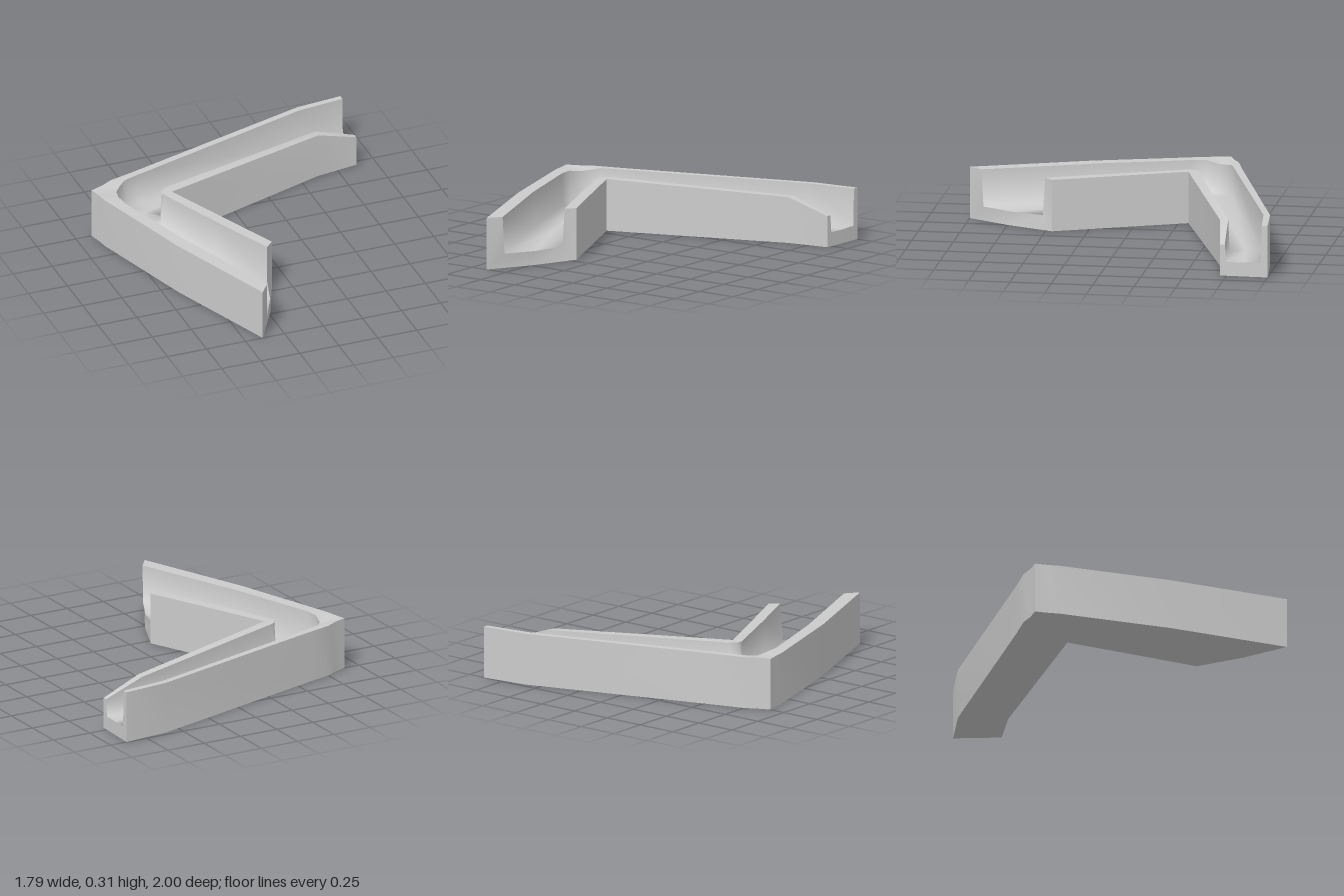
import * as THREE from 'three';
import { toCreasedNormals } from 'three/addons/utils/BufferGeometryUtils.js';

const TOP = 0.315;

// Plan stations along the bent trough, each as [x, z] pairs:
// outer edge, outer rim lip, inner rim lip, inner edge; then floor height, inner rim height, outer lip height
const stations = [
  [[-0.39, 1.0], [-0.33, 0.92], [-0.17, 0.51], [-0.12, 0.46], 0.085, TOP, TOP],
  [[-0.66, 0.31], [-0.6, 0.24], [-0.335, 0.14], [-0.28, 0.1], 0.1, TOP, TOP],
  [[-0.87, -0.36], [-0.77, -0.28], [-0.52, -0.3], [-0.46, -0.31], 0.115, TOP, TOP],
  [[-0.88, -0.42], [-0.78, -0.37], [-0.52, -0.315], [-0.46, -0.31], 0.12, TOP, TOP],
  [[-0.9, -0.5], [-0.76, -0.45], [-0.515, -0.33], [-0.46, -0.31], 0.12, TOP, 0.3],
  [[-0.82, -0.53], [-0.72, -0.5], [-0.505, -0.345], [-0.46, -0.31], 0.12, TOP, 0.305],
  [[-0.75, -0.57], [-0.67, -0.54], [-0.495, -0.36], [-0.46, -0.31], 0.12, TOP, TOP],
  [[-0.6, -0.61], [-0.58, -0.57], [-0.48, -0.37], [-0.45, -0.313], 0.12, TOP, TOP],
  [[0.6, -0.97], [0.6, -0.93], [0.62, -0.72], [0.62, -0.67], 0.095, 0.28, TOP],
  [[0.89, -1.0], [0.89, -0.965], [0.88, -0.74], [0.88, -0.71], 0.085, 0.19, TOP],
];

// Closed cross-section: outer top, lip, three floor points, lip, inner top, then the underside
function section([o, lipO, lipI, inn, floor, rimY, lipY], i) {
  const v = ([x, z], y) => new THREE.Vector3(x, y, z);
  const mix = (a, b, t) => [a[0] + (b[0] - a[0]) * t, a[1] + (b[1] - a[1]) * t];
  const bow = i === 0 ? 0.016 : 0; // the front end bulges slightly
  const mid = (a, b) => {
    const m = mix(a, b, 0.5);
    return [m[0] + bow, m[1] + bow * 0.4];
  };
  return [
    v(o, TOP), v(lipO, lipY),
    v(mix(lipO, lipI, 0.03), floor + 0.004), v(mid(lipO, lipI), floor), v(mix(lipO, lipI, 0.96), floor),
    v(lipI, rimY), v(inn, rimY),
    v(inn, 0), v(mid(o, inn), 0), v(o, 0),
  ];
}

function geometryFrom(points, index) {
  const geo = new THREE.BufferGeometry().setFromPoints(points);
  geo.setIndex(index);
  return geo;
}

export function createModel() {
  const group = new THREE.Group();
  const material = new THREE.MeshStandardMaterial({ color: 0xcccccc });
  const rings = stations.map(section);
  const n = rings[0].length;
  const points = rings.flat();
  const groove = [], body = [];
  const quad = (list, a, b, c, d) => list.push(a, b, c, a, c, d);

  // Loft the sections; sides 1 to 4 form the channel, the others the shell
  for (let i = 0; i < rings.length - 1; i++) {
    for (let j = 0; j < n; j++) {
      const k = (j + 1) % n, a = i * n, b = a + n;
      quad(j >= 1 && j < 5 ? groove : body, a + j, a + k, b + k, b + j);
    }
  }

  // End caps
  const last = (rings.length - 1) * n;
  for (const [a, b, c, d] of [[0, 1, 2, 9], [2, 3, 8, 9], [3, 4, 7, 8], [4, 5, 6, 7]]) {
    quad(body, d, c, b, a);
    quad(body, last + a, last + b, last + c, last + d);
  }

  const grooveGeo = geometryFrom(points, groove);
  grooveGeo.computeVertexNormals();
  const channel = new THREE.Mesh(grooveGeo, material);
  channel.name = 'channel';

  const shell = new THREE.Mesh(toCreasedNormals(geometryFrom(points, body), 0.5), material);
  shell.name = 'troughShell';

  group.add(shell, channel);
  group.name = 'bentTrough';
  return group;
}
